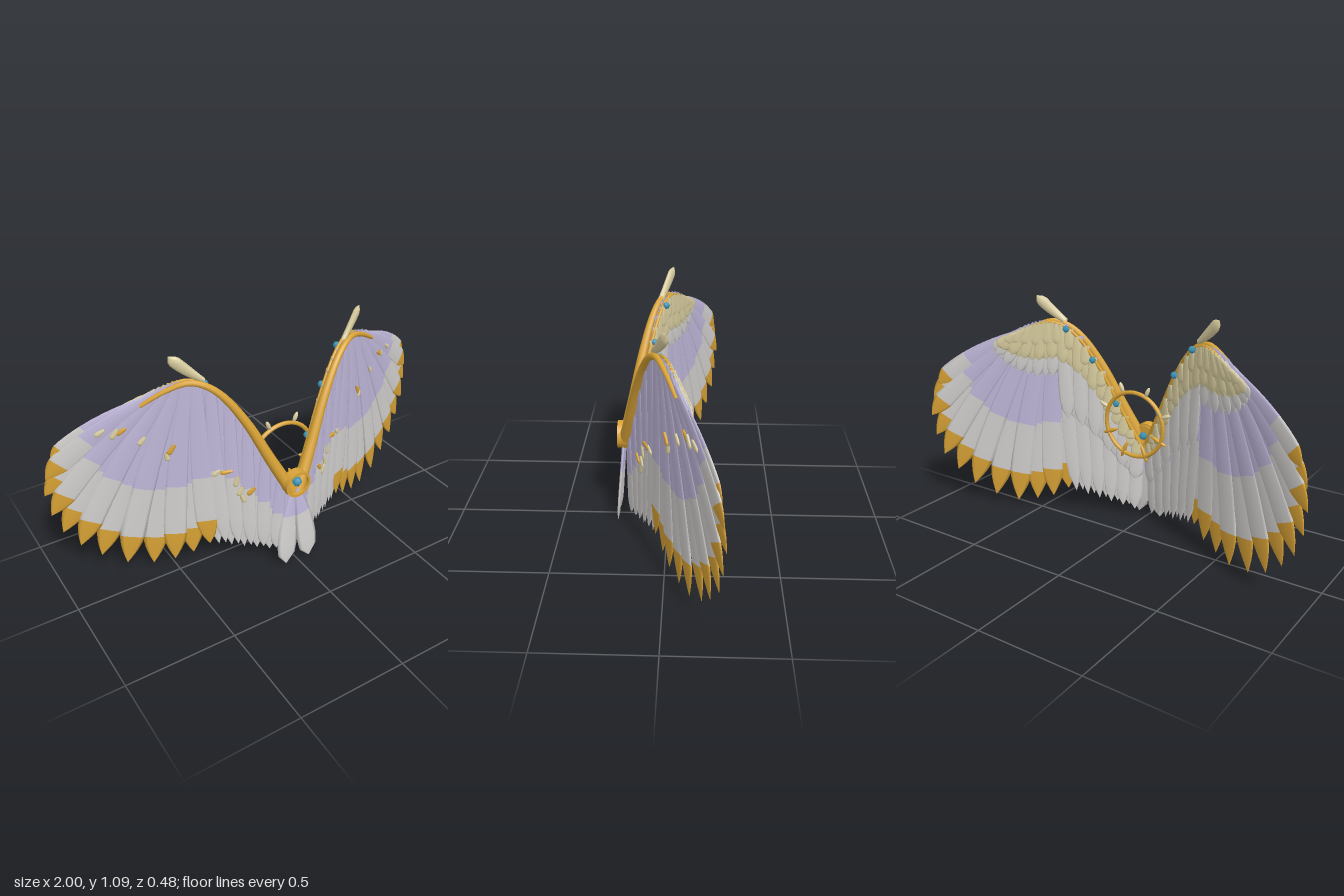
import * as THREE from 'three';

const mat = (name, color, side = THREE.FrontSide) => {
  const m = new THREE.MeshStandardMaterial({ color, side });
  m.name = name;
  return m;
};
const gold = mat('gold', 0xd9a336);
const lavender = mat('lavender', 0xc0b8da, THREE.DoubleSide);
const white = mat('white', 0xd2d0ce, THREE.DoubleSide);
const cream = mat('cream', 0xd9cd9f, THREE.DoubleSide);
const goldTip = gold;
const blue = mat('blue', 0x3a94b8);

// Wing plane: swept back from the middle, d is the offset towards the front
const wingPlane = s => (x, y, d) => new THREE.Vector3(s * x, y, 0.2 - 0.44 * x + d);
const tailPlane = s => (x, y, d) => new THREE.Vector3(s * x, y, 0.2 + (0.4 - y) * 0.08 + d);
const v2 = (x, y) => new THREE.Vector2(x, y);

// Wing bone in the wing plane
const boneLine = new THREE.SplineCurve([
  [0.02, 0.4], [0.1, 0.56], [0.2, 0.77], [0.3, 0.92], [0.4, 0.98], [0.5, 0.952], [0.6, 0.89],
].map(p => v2(...p)));

// Lens-shaped feather; bands is a list of [end fraction, material]
function feather(name, s, place, base, tip, o) {
  const { width, bands, bend = 0, d = 0, thick = 0.007, root = 0.45 } = o;
  const dir = tip.clone().sub(base);
  const mid = base.clone().lerp(tip, 0.5).add(v2(-dir.y, dir.x).multiplyScalar(bend));
  const line = new THREE.QuadraticBezierCurve(base, mid, tip);
  const sides = 8, pos = [], index = [], groups = [];
  const addRing = u => {
    const p = line.getPoint(u), t = line.getTangent(u);
    const grow = root + (1 - root) * Math.sin(Math.min(u / 0.75, 1) * Math.PI / 2);
    const end = u < 0.82 ? 1 : 1 - ((u - 0.82) / 0.18) ** 1.7;
    const w = width / 2 * grow * end + 0.0004;
    for (let j = 0; j < sides; j++) {
      const a = j / sides * Math.PI * 2, c = Math.cos(a) * w;
      pos.push(...place(p.x + t.y * c, p.y - t.x * c, d + Math.sin(a) * thick * (0.15 + 0.85 * end)).toArray());
    }
  };
  addRing(0);
  let from = 0, ring = 0;
  bands.forEach(([to], k) => {
    const start = index.length, n = bands.length > 1 ? 5 : 10;
    for (let i = 1; i <= n; i++, ring++) {
      addRing(from + (to - from) * i / n);
      for (let j = 0; j < sides; j++) {
        const a = ring * sides + j, b = ring * sides + (j + 1) % sides, c = a + sides, e = b + sides;
        if (s > 0) index.push(a, c, b, b, c, e);
        else index.push(a, b, c, b, e, c);
      }
    }
    groups.push([start, index.length - start, k]);
    from = to;
  });
  const g = new THREE.BufferGeometry();
  g.setAttribute('position', new THREE.Float32BufferAttribute(pos, 3));
  g.setIndex(index);
  groups.forEach(q => g.addGroup(...q));
  g.computeVertexNormals();
  const m = new THREE.Mesh(g, bands.map(b => b[1]));
  m.name = name;
  return m;
}

// Tube that narrows from r0 to r1
function taperedTube(name, points, r0, r1) {
  const curve = new THREE.CatmullRomCurve3(points), n = 40, sides = 10;
  const g = new THREE.TubeGeometry(curve, n, 1, sides);
  const p = g.attributes.position, v = new THREE.Vector3();
  for (let i = 0; i <= n; i++) {
    const c = curve.getPointAt(i / n), r = r0 + (r1 - r0) * i / n;
    for (let j = 0; j <= sides; j++) {
      const k = i * (sides + 1) + j;
      v.fromBufferAttribute(p, k).sub(c).multiplyScalar(r).add(c);
      p.setXYZ(k, v.x, v.y, v.z);
    }
  }
  const m = new THREE.Mesh(g, gold);
  m.name = name;
  return m;
}

function gem(name, pos, r) {
  const m = new THREE.Mesh(new THREE.OctahedronGeometry(r, 1), blue);
  m.name = name;
  m.position.copy(pos);
  return m;
}

const primaryTips = [[0.36, 0.13], [0.43, 0.085], [0.51, 0.06], [0.6, 0.045], [0.71, 0.065], [0.81, 0.12],
  [0.89, 0.19], [0.95, 0.27], [0.985, 0.37], [0.998, 0.475], [0.985, 0.565], [0.955, 0.64]].map(p => v2(...p));

function makeWing(s) {
  const wing = new THREE.Group(), place = wingPlane(s);
  wing.name = s > 0 ? 'leftWing' : 'rightWing';
  const add = (name, base, tip, o) => wing.add(feather(name, s, place, base, tip, o));

  // Bone along the leading edge with a thin vine and gems behind it
  const along = (n, d) => Array.from({ length: n + 1 }, (_, i) => {
    const p = boneLine.getPoint(i / n);
    return place(p.x, p.y, d);
  });
  wing.add(taperedTube('wingBone', along(16, 0.012), 0.03, 0.008));
  wing.add(taperedTube('boneVine', along(16, -0.018), 0.01, 0.006));
  [0.2, 0.37, 0.56].forEach(t => {
    const p = boneLine.getPoint(t);
    wing.add(gem('boneGem', place(p.x, p.y, -0.032), 0.017));
  });

  // All flight feathers as base, tip and kind, from the body outwards
  const flight = [];
  const nSec = 11;
  for (let i = 0; i < nSec; i++) {
    const t = i / (nSec - 1);
    flight.push({ base: boneLine.getPoint(0.03 + 0.58 * t), tip: v2(0.05 + 0.27 * t, 0.045 + 0.075 * t + 0.012 * (i % 2)), t });
  }
  primaryTips.forEach((tip, i) => {
    const t = i / (primaryTips.length - 1);
    flight.push({ base: boneLine.getPoint(0.64 + 0.31 * t), tip, t, primary: true });
  });

  flight.forEach(({ base, tip, t, primary }, i) => {
    const bend = primary ? 0.02 + 0.06 * t : 0.02;
    const d = (i % 2) * 0.004 - 0.002;
    if (primary) add('primaryFeather', base, tip, { width: 0.108 - 0.012 * t, bend, d, bands: [[0.56, lavender], [0.84, white], [1, goldTip]] });
    else add('secondaryFeather', base, tip, { width: 0.062 + 0.014 * t, bend, d, root: 0.65, bands: [[0.5, lavender], [1, white]] });

    // Back coverts: a long white row below a short cream row
    const row = (name, f, width, off, m) => add(name, base, base.clone().lerp(tip, f),
      { width, bend: bend * 0.5, d: d + off, thick: 0.006, bands: [[1, m]] });
    row('whiteCovert', primary ? 0.3 - 0.04 * t : 0.55, primary ? 0.055 : 0.066, -0.014, white);
    row('creamCovert', primary ? 0.2 : 0.22, 0.05, -0.021, cream);
    if (i % 2) row('shortCreamCovert', 0.12, 0.045, -0.027, cream);
  });

  // Thumb feather on the wrist
  add('thumbFeather', v2(0.355, 0.985), v2(0.478, 1.1), { width: 0.05, bend: -0.06, thick: 0.014, bands: [[1, cream]] });

  // Small leaf ornaments on the front: x, y, dx, dy
  [[0.17, 0.43, 0.03, -0.04], [0.22, 0.44, 0.02, -0.05], [0.24, 0.5, 0.01, -0.06], [0.26, 0.53, 0.05, -0.01],
    [0.31, 0.54, 0.03, -0.03], [0.23, 0.4, -0.02, -0.05], [0.48, 0.69, 0.03, -0.05], [0.52, 0.65, -0.01, -0.04],
    [0.59, 0.74, 0.03, -0.04], [0.66, 0.79, 0.04, -0.03], [0.69, 0.79, 0.03, -0.05], [0.74, 0.79, 0.04, -0.03],
  ].forEach(([x, y, dx, dy], i) => add('leafOrnament', v2(x, y), v2(x + dx, y + dy),
    { width: 0.022, d: 0.01, thick: 0.007, bands: [[1, i % 3 ? cream : gold]] }));

  // Tail feather below the clasp
  wing.add(feather('tailFeather', s, tailPlane(s), v2(0.004, 0.42), v2(0.062, 0.008),
    { width: 0.105, bend: 0.04, root: 0.15, d: 0.004 + s * 0.002, thick: 0.008, bands: [[0.38, lavender], [1, white]] }));
  return wing;
}

export function createModel() {
  const model = new THREE.Group();
  model.name = 'wings';
  model.add(makeWing(1), makeWing(-1));

  // Clasp: a band around the meeting point of the bones
  const shape = new THREE.Shape().absarc(0, 0, 0.064, 0, Math.PI * 2);
  shape.holes.push(new THREE.Path().absarc(0, 0, 0.052, 0, Math.PI * 2, true));
  const clasp = new THREE.Mesh(new THREE.ExtrudeGeometry(shape, { depth: 0.045, bevelEnabled: false, curveSegments: 24 }), gold);
  clasp.name = 'clasp';
  clasp.position.set(0, 0.437, 0.188);
  const plate = new THREE.Mesh(new THREE.CylinderGeometry(0.056, 0.056, 0.012, 32), gold);
  plate.name = 'claspPlate';
  plate.rotation.x = Math.PI / 2;
  plate.position.set(0, 0.437, 0.186);
  model.add(clasp, plate, gem('claspGem', new THREE.Vector3(0, 0.445, 0.215), 0.024),
    gem('claspBackGem', new THREE.Vector3(0, 0.445, 0.17), 0.02));

  // Ring behind the clasp with studs pointing outwards
  const halo = new THREE.Group();
  halo.name = 'halo';
  halo.position.set(0, 0.525, 0.092);
  const ring = new THREE.Mesh(new THREE.TorusGeometry(0.157, 0.01, 8, 48), gold);
  ring.name = 'haloRing';
  halo.add(ring);
  for (let i = 0; i < 8; i++) {
    const a = (i + 0.5) / 8 * Math.PI * 2 + Math.PI / 2;
    const lower = Math.sin(a) < 0, r = lower ? 0.145 : 0.185;
    const stud = new THREE.Mesh(new THREE.SphereGeometry(1, 10, 8), lower ? gold : cream);
    stud.name = 'haloStud';
    stud.scale.set(0.01, lower ? 0.045 : 0.026, 0.01);
    stud.position.set(Math.cos(a) * r, Math.sin(a) * r, 0);
    stud.rotation.z = a - Math.PI / 2;
    halo.add(stud);
  }
  model.add(halo);
  return model;
}
